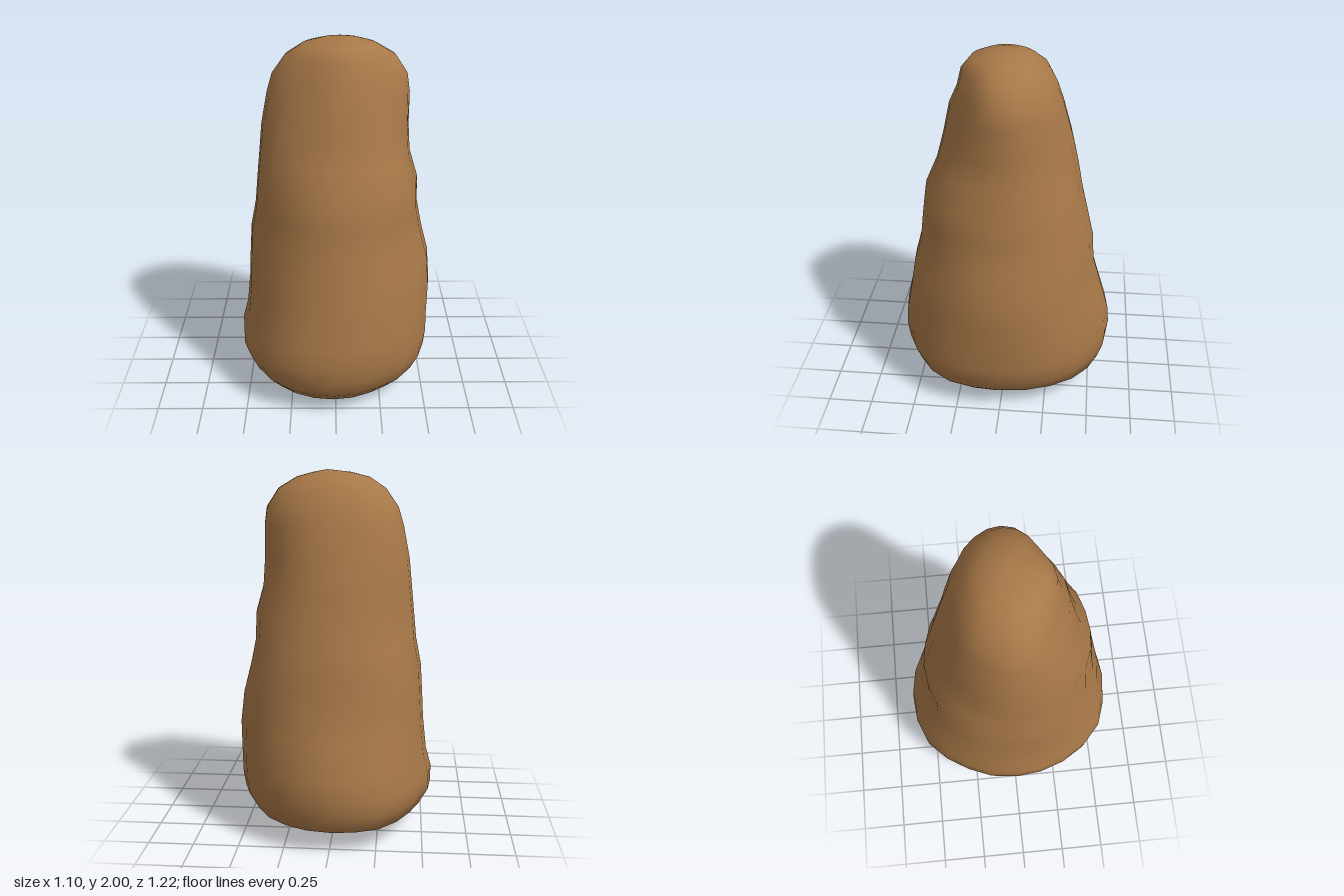
import * as THREE from 'three';

// Cross-sections: height, left-most x, right-most x, back z, front z
const RINGS = [
  [0.02, -0.30, 0.28, -0.20, 0.40],
  [0.06, -0.43, 0.40, -0.42, 0.50],
  [0.13, -0.50, 0.48, -0.57, 0.57],
  [0.22, -0.55, 0.53, -0.60, 0.60],
  [0.31, -0.55, 0.54, -0.61, 0.61],
  [0.42, -0.52, 0.54, -0.60, 0.60],
  [0.60, -0.50, 0.545, -0.55, 0.56],
  [0.77, -0.49, 0.53, -0.50, 0.53],
  [0.92, -0.48, 0.49, -0.49, 0.49],
  [1.07, -0.45, 0.46, -0.455, 0.475],
  [1.22, -0.435, 0.455, -0.42, 0.455],
  [1.37, -0.42, 0.41, -0.39, 0.39],
  [1.52, -0.405, 0.40, -0.355, 0.35],
  [1.70, -0.37, 0.40, -0.305, 0.31],
  [1.80, -0.34, 0.385, -0.27, 0.265],
  [1.90, -0.27, 0.32, -0.22, 0.24],
  [1.96, -0.18, 0.22, -0.15, 0.19],
  [1.985, -0.08, 0.13, -0.08, 0.10],
];
const SIDES = 24;

function moundGeometry() {
  const pos = [];
  const index = [];
  for (const [y, x0, x1, z0, z1] of RINGS) {
    const cx = (x0 + x1) / 2;
    const cz = (z0 + z1) / 2;
    for (let i = 0; i < SIDES; i++) {
      const a = (i / SIDES) * Math.PI * 2;
      const c = Math.cos(a);
      const s = Math.sin(a);
      // Diagonals carry gentle lumps; the upper front is pinched to a ridge
      const diagonal = Math.sin(2 * a) ** 2;
      const lump = 0.02 * Math.sin(3 * a + 4 * y) + 0.015 * Math.sin(5 * a - 7 * y);
      const pinch = s > 0 ? 0.1 * THREE.MathUtils.smoothstep(y, 1.3, 1.85) : 0;
      const r = 1 + diagonal * (0.015 + lump - pinch);
      pos.push(cx + c * r * (x1 - x0) / 2, y, cz + s * r * (z1 - z0) / 2);
    }
  }
  // Walls between neighbouring rings
  for (let j = 0; j < RINGS.length - 1; j++) {
    for (let i = 0; i < SIDES; i++) {
      const n = (i + 1) % SIDES;
      const a = j * SIDES + i;
      const b = j * SIDES + n;
      index.push(a, a + SIDES, b, b, a + SIDES, b + SIDES);
    }
  }
  // Underside and summit
  const bottom = pos.length / 3;
  pos.push(0, 0, 0.2, 0.05, 2, 0);
  const last = (RINGS.length - 1) * SIDES;
  for (let i = 0; i < SIDES; i++) {
    const n = (i + 1) % SIDES;
    index.push(bottom, i, n, bottom + 1, last + n, last + i);
  }
  const geometry = new THREE.BufferGeometry();
  geometry.setAttribute('position', new THREE.Float32BufferAttribute(pos, 3));
  geometry.setIndex(index);
  geometry.computeVertexNormals();
  return geometry;
}

export function createModel() {
  const group = new THREE.Group();
  group.name = 'earthMound';
  const clay = new THREE.MeshStandardMaterial({ color: 0xa87848 });
  clay.name = 'clay brown';
  const mound = new THREE.Mesh(moundGeometry(), clay);
  mound.name = 'moundBody';
  group.add(mound);
  return group;
}
